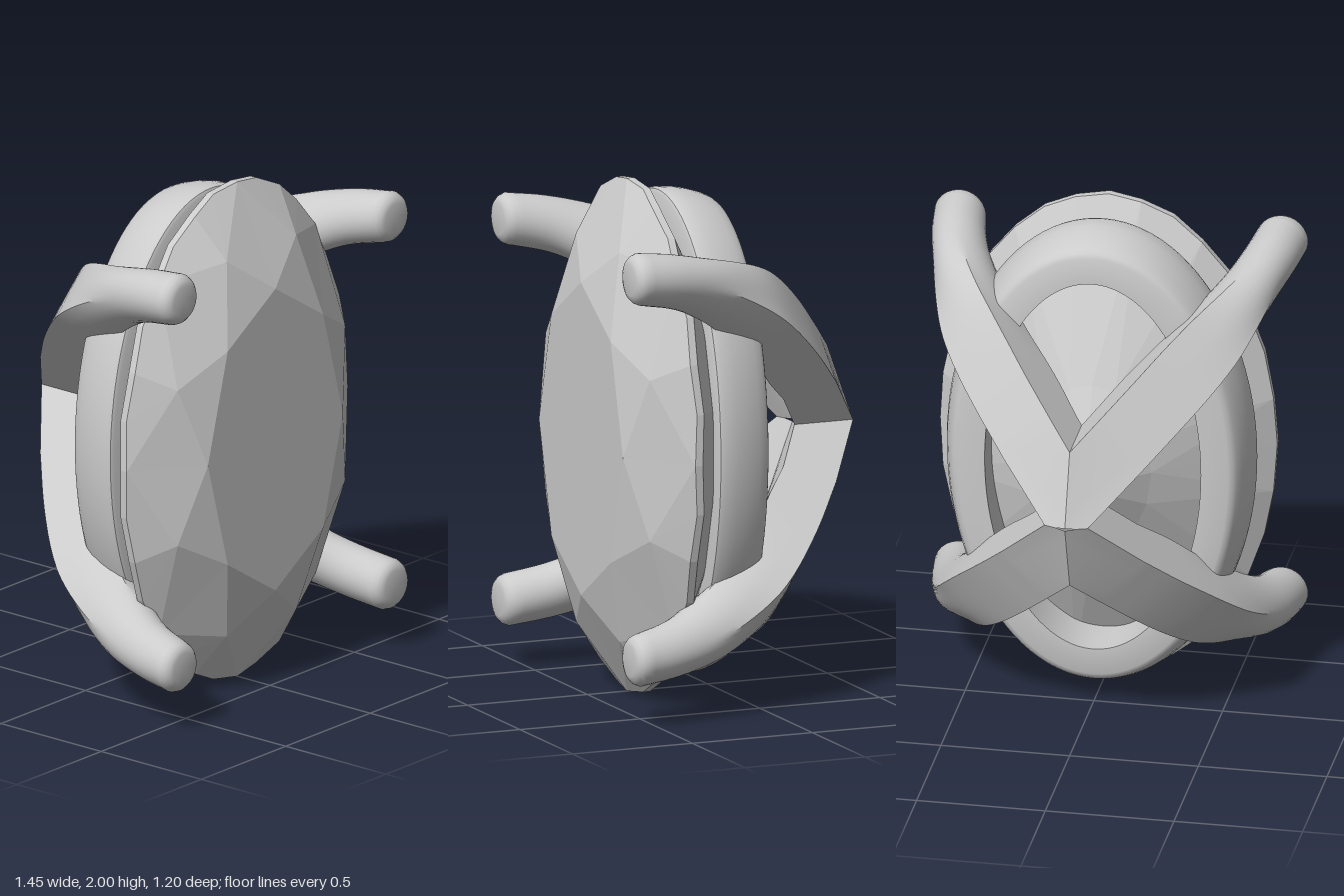
import * as THREE from 'three';
import { toCreasedNormals } from 'three/addons/utils/BufferGeometryUtils.js';

const CY = 1; // height of the setting's centre; parts are built around it
const V = (x, y, z) => new THREE.Vector3(x, y, z);

// Skin a list of closed cross-sections; faces are turned outward by the sign of the volume.
function loft(sections, wrap) {
  const n = sections[0].length, m = sections.length, pts = sections.flat(), index = [];
  for (let i = 0; i < (wrap ? m : m - 1); i++) {
    for (let j = 0; j < n; j++) {
      const a = i * n + j, b = i * n + (j + 1) % n;
      const c = ((i + 1) % m) * n + j, d = ((i + 1) % m) * n + (j + 1) % n;
      index.push(a, c, d, a, d, b);
    }
  }
  let volume = 0;
  for (let i = 0; i < index.length; i += 3) {
    volume += pts[index[i]].dot(V().crossVectors(pts[index[i + 1]], pts[index[i + 2]]));
  }
  if (volume < 0) index.reverse();
  const g = new THREE.BufferGeometry().setFromPoints(pts);
  g.setIndex(index);
  return toCreasedNormals(g, 0.6);
}

// Faceted oval stone: table, stars, kites, girdle and pointed pavilion
function gemGeometry() {
  const at = (step, k, z) => {
    const a = Math.PI / 2 + step * Math.PI / 16;
    return V(0.655 * k * Math.cos(a), k * Math.sin(a), z);
  };
  const wave = j => Math.cos(j * Math.PI);
  const T = k => at(4 * k, 0.61, 0.527);
  const M = k => at(4 * k + 2, 0.82, 0.457);
  const U = j => at(j, 1, 0.33 + 0.006 * wave(j));
  const L = j => at(j, 1, 0.3 + 0.005 * wave(j));
  const P = i => at(2 * i, 0.35, -0.035);
  const table = V(0, 0, 0.527), culet = V(0, 0, -0.235), tris = [];
  for (let k = 0; k < 8; k++) {
    tris.push(table, T(k), T(k + 1), T(k), M(k), T(k + 1));
    tris.push(T(k), M(k - 1), U(4 * k), T(k), U(4 * k), M(k));
    for (let j = 4 * k; j < 4 * k + 4; j++) tris.push(M(k), U(j), U(j + 1));
  }
  for (let j = 0; j < 32; j++) tris.push(U(j), L(j), L(j + 1), U(j), L(j + 1), U(j + 1));
  for (let i = 0; i < 16; i++) {
    const a = 2 * i;
    tris.push(L(a), P(i), L(a + 1), L(a + 1), P(i), P(i + 1));
    tris.push(L(a + 1), P(i + 1), L(a + 2), P(i), culet, P(i + 1));
  }
  const g = new THREE.BufferGeometry().setFromPoints(tris);
  g.computeVertexNormals();
  return g;
}

// Oval band under the stone; profile pairs are [inset, z]
function bandGeometry() {
  const profile = [[0.02, 0.21], [0.006, 0.203], [0, 0.185], [0.004, 0.13], [0.014, 0.08], [0.03, 0.03],
    [0.044, 0], [0.056, -0.016], [0.075, -0.025], [0.18, -0.025], [0.18, 0.21]];
  const sections = [];
  for (let i = 0; i < 96; i++) {
    const a = i / 96 * Math.PI * 2;
    sections.push(profile.map(([d, z]) => V((0.6 - d) * Math.cos(a), (0.95 - d) * Math.sin(a), z)));
  }
  return loft(sections, true);
}

// Outline of a unit square, walked evenly, as [outward, sideways] pairs
const SQUARE = [];
for (const [u, v] of [[1, 0], [0, 1], [-1, 0], [0, -1]]) {
  for (let k = -4; k < 4; k++) SQUARE.push([u - v * k / 4, v + u * k / 4]);
}

// One prong: round at the tip, square at the back, mitred on x = 0 and on the mid height
function prongGeometry(sx, sy) {
  const curve = list => new THREE.CatmullRomCurve3(list.map(([t, z]) => V(t, 0, z)));
  const outer = curve([[1, 0.56], [0.973, 0.4], [0.915, 0.22], [0.825, 0.065], [0.7, -0.085],
    [0.47, -0.275], [0.26, -0.418]]);
  const inner = curve([[0.798, 0.56], [0.752, 0.42], [0.687, 0.31], [0.605, 0.18], [0.5, 0.02],
    [0.29, -0.13], [0.17, -0.225]]);
  const dx = 0.696, dy = 0.718, base = 0.097;
  const place = (t, s, z) => V(sx * (dx * t - dy * s), sy * (base + dy * t + dx * s), z);
  const section = (o, i, w, square, scale) => SQUARE.map(([p, q]) => {
    const f = THREE.MathUtils.lerp(1 / Math.hypot(p, q), 1, square) * scale;
    const u = p * f / 2;
    return place((o.x + i.x) / 2 + (o.x - i.x) * u, q * f * w, (o.z + i.z) / 2 + (o.z - i.z) * u);
  });
  const sections = [];
  // softened tip
  for (const [scale, z] of [[0.001, 0.6], [0.6, 0.6], [0.78, 0.594], [0.92, 0.58]]) {
    sections.push(section(V(1, 0, z), V(0.798, 0, z), 0.101, 0, scale));
  }
  for (let k = 0; k <= 30; k++) {
    const t = k / 30, square = THREE.MathUtils.smoothstep(t, 0.25, 0.8);
    sections.push(section(outer.getPoint(t), inner.getPoint(t), 0.101 + 0.027 * square, square, 1));
  }
  // mitred end, each strand stopping where it meets a mirror plane
  sections.push(SQUARE.map(([p, q]) => {
    const s = q * 0.128, t = Math.max(dy * s / dx, -(base + dx * s) / dy);
    return place(t, s, THREE.MathUtils.lerp(-0.32 + 0.52 * t, -0.565 + 0.5 * t, (p + 1) / 2));
  }));
  return loft(sections, false);
}

export function createModel() {
  const group = new THREE.Group();
  group.name = 'gemSetting';
  const metal = new THREE.MeshStandardMaterial({ color: 0xcccccc });
  const stone = new THREE.MeshStandardMaterial({ color: 0xcccccc, flatShading: true });
  const add = (name, geometry, material) => {
    const mesh = new THREE.Mesh(geometry, material);
    mesh.name = name;
    mesh.position.y = CY;
    group.add(mesh);
  };
  add('ovalGem', gemGeometry(), stone);
  add('supportBand', bandGeometry(), metal);
  for (const [side, sx] of [['Left', 1], ['Right', -1]]) {
    add(`upper${side}Prong`, prongGeometry(sx, 1), metal);
    add(`lower${side}Prong`, prongGeometry(sx, -1), metal);
  }
  return group;
}
